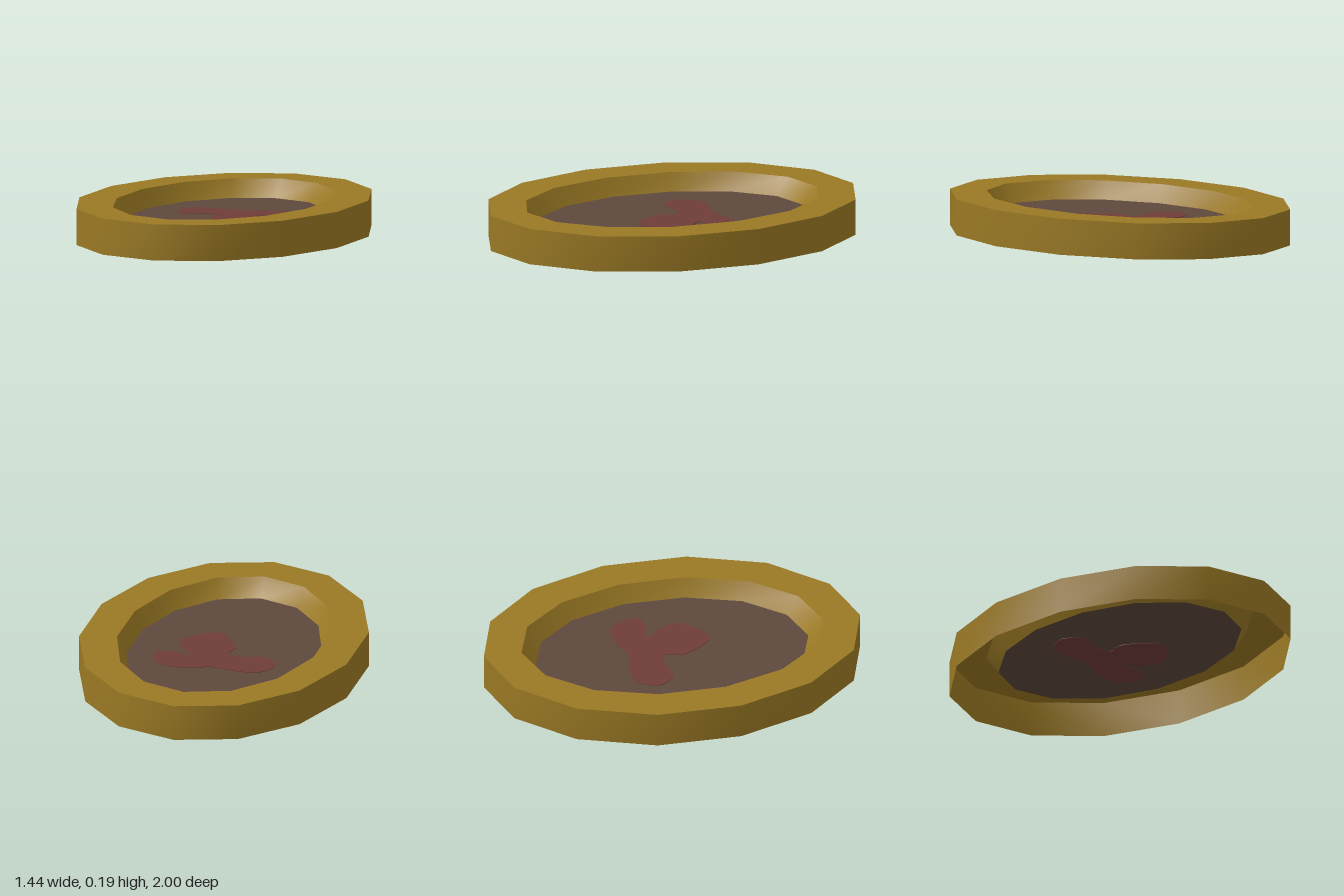
import * as THREE from 'three';

const SIDES = 14;
const HEIGHT = 0.19;
const PANEL_Y = 0.097;

// Each ring is an ellipse: x radius, height, z radius
const RINGS = {
  base: [0.74, 0, 1],
  rim: [0.74, HEIGHT, 1],
  lip: [0.543, HEIGHT, 0.8],
  panel: [0.495, PANEL_Y, 0.725],
};

// Smooth band joining two elliptical rings
function band(from, to) {
  const positions = [];
  const index = [];
  for (const [rx, y, rz] of [from, to]) {
    for (let i = 0; i < SIDES; i++) {
      const a = (i / SIDES) * Math.PI * 2;
      positions.push(Math.sin(a) * rx, y, Math.cos(a) * rz);
    }
  }
  for (let i = 0; i < SIDES; i++) {
    const n = (i + 1) % SIDES;
    index.push(i, n, SIDES + n, i, SIDES + n, SIDES + i);
  }
  const geometry = new THREE.BufferGeometry();
  geometry.setAttribute('position', new THREE.Float32BufferAttribute(positions, 3));
  geometry.setIndex(index);
  geometry.computeVertexNormals();
  return geometry;
}

export function createModel() {
  const gold = new THREE.MeshStandardMaterial({ color: 0x9a7924, side: THREE.DoubleSide });
  gold.name = 'dull gold';
  const brown = new THREE.MeshStandardMaterial({ color: 0x5e483c, side: THREE.DoubleSide });
  brown.name = 'dark brown';
  const red = new THREE.MeshStandardMaterial({ color: 0x6f3c38 });
  red.name = 'faded red';

  const model = new THREE.Group();
  model.name = 'ovalFrame';
  const add = (name, geometry, material) => {
    const mesh = new THREE.Mesh(geometry, material);
    mesh.name = name;
    model.add(mesh);
    return mesh;
  };

  // Hollow frame, open underneath
  add('outerWall', band(RINGS.base, RINGS.rim), gold);
  add('topRim', band(RINGS.rim, RINGS.lip), gold);
  add('innerSlope', band(RINGS.lip, RINGS.panel), gold);

  // Recessed oval panel, a fan from the centre
  const panel = new THREE.CircleGeometry(1, SIDES, Math.PI / 2);
  panel.rotateX(-Math.PI / 2);
  panel.scale(RINGS.panel[0], 1, RINGS.panel[2]);
  add('panel', panel, brown).position.y = PANEL_Y;

  // Three-lobed stain, showing on both faces of the panel
  const outline = [
    [-0.31, -0.13], [-0.25, -0.24], [-0.12, -0.25], [0, -0.23], [0.12, -0.27],
    [0.25, -0.275], [0.32, -0.21], [0.33, -0.11], [0.26, -0.09], [0.14, -0.11],
    [0.21, -0.03], [0.25, 0.06], [0.2, 0.15], [0.08, 0.22], [0, 0.14],
    [-0.05, 0.04], [-0.03, -0.04], [-0.12, -0.06], [-0.24, -0.04],
  ].map(([x, z]) => new THREE.Vector3(x, z, 0));
  const curve = new THREE.CatmullRomCurve3(outline, true);
  const shape = new THREE.Shape(curve.getPoints(76).slice(0, -1).map((p) => new THREE.Vector2(p.x, p.y)));
  const stain = new THREE.ExtrudeGeometry(shape, { depth: 0.006, bevelEnabled: false });
  stain.rotateX(Math.PI / 2);
  add('stain', stain, red).position.y = PANEL_Y + 0.003;

  return model;
}
